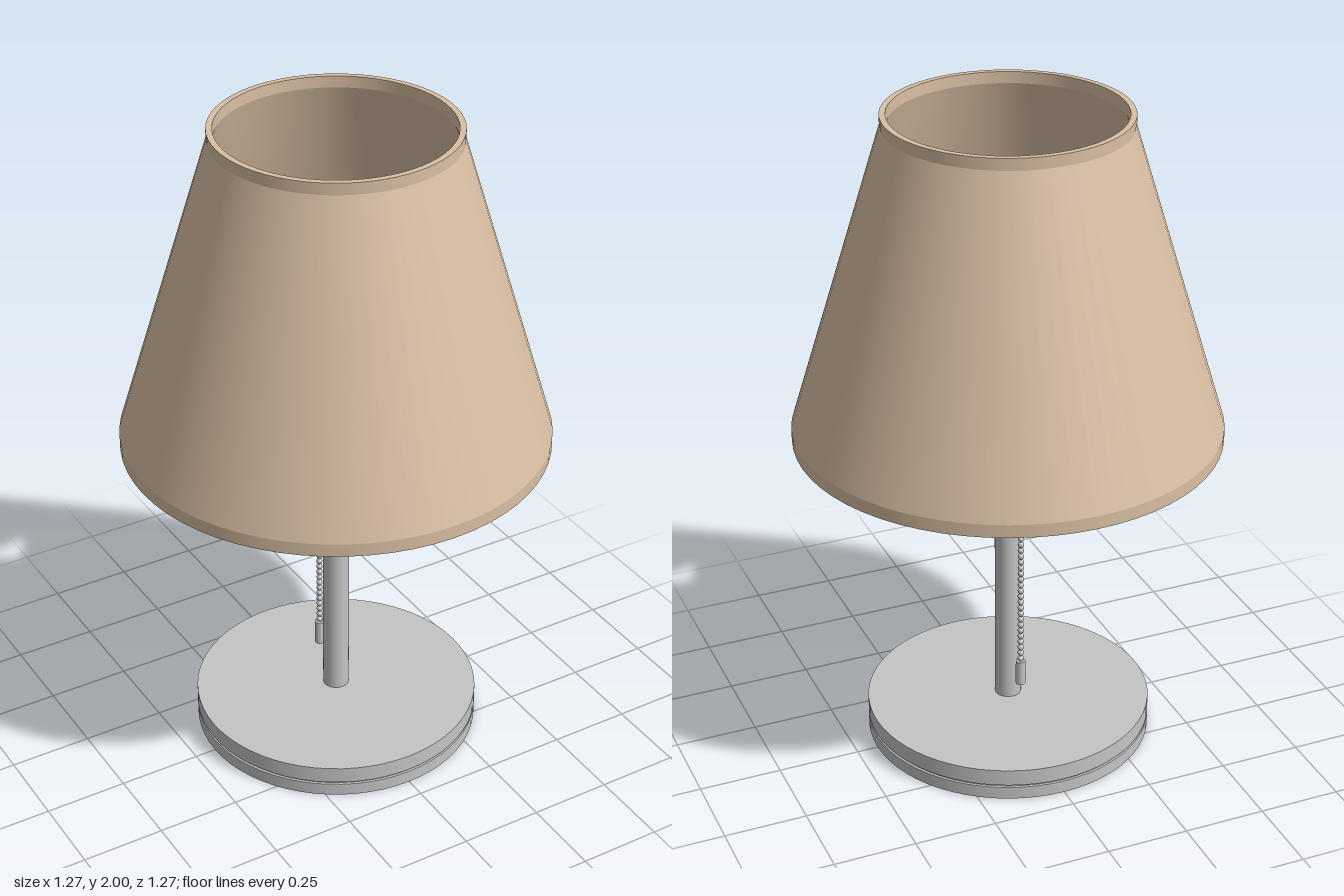
import * as THREE from 'three';
import { toCreasedNormals, mergeGeometries } from 'three/addons/utils/BufferGeometryUtils.js';

const fabric = new THREE.MeshStandardMaterial({ color: 0xd9bfa4 });
fabric.name = 'shadeFabric';
const metal = new THREE.MeshStandardMaterial({ color: 0xc4c4c4 });
metal.name = 'greyMetal';

function part(name, geometry, material) {
  const mesh = new THREE.Mesh(geometry, material);
  mesh.name = name;
  return mesh;
}

// Profile [radius, height] spun round the y axis, with sharp edges kept
function turned(name, profile, material, sides = 64) {
  const points = profile.map(([r, y]) => new THREE.Vector2(r, y));
  const geometry = toCreasedNormals(new THREE.LatheGeometry(points, sides), 0.2);
  return part(name, geometry, material);
}

export function createModel() {
  const lamp = new THREE.Group();
  lamp.name = 'tableLamp';

  // Round base with a narrow groove in its side
  lamp.add(turned('base', [
    [0, 0], [0.435, 0], [0.435, 0.04], [0.427, 0.04],
    [0.427, 0.048], [0.435, 0.048], [0.435, 0.1], [0, 0.1],
  ], metal));

  // Upright pole
  const pole = part('pole', new THREE.CylinderGeometry(0.04, 0.04, 1.04, 32), metal);
  pole.position.y = 0.62;
  lamp.add(pole);

  // Bulb socket
  lamp.add(turned('socket', [
    [0, 1.11], [0.045, 1.11], [0.058, 1.14], [0.058, 1.26],
    [0.05, 1.275], [0.05, 1.38], [0, 1.38],
  ], metal, 32));

  // Bulb: neck flowing into a sphere
  const bulbPoints = [new THREE.Vector2(0.042, 1.37), new THREE.Vector2(0.046, 1.41)];
  const radius = 0.118, centre = 1.56;
  for (let i = 0; i <= 16; i++) {
    const a = THREE.MathUtils.lerp(-0.9, Math.PI / 2, i / 16);
    bulbPoints.push(new THREE.Vector2(Math.max(0, radius * Math.cos(a)), centre + radius * Math.sin(a)));
  }
  lamp.add(part('bulb', new THREE.LatheGeometry(bulbPoints, 40), metal));

  // Hollow shade with straight bands at both rims
  lamp.add(turned('shade', [
    [0.617, 1.01], [0.635, 1.01], [0.635, 1.05], [0.357, 1.965], [0.357, 2],
    [0.339, 2], [0.339, 1.965], [0.617, 1.05], [0.617, 1.01],
  ], fabric));

  // Three bent arms carrying the shade
  const bends = [[0.03, 1.25], [0.115, 1.25], [0.565, 1.03], [0.62, 1.03]];
  const armPath = new THREE.CurvePath();
  for (let i = 0; i < bends.length - 1; i++) {
    const [a, b] = [bends[i], bends[i + 1]].map(([r, y]) => new THREE.Vector3(r, y, 0));
    armPath.add(new THREE.LineCurve3(a, b));
  }
  const armGeometry = new THREE.TubeGeometry(armPath, 48, 0.009, 8);
  for (let i = 0; i < 3; i++) {
    const arm = part('shadeArm', armGeometry, metal);
    arm.rotation.y = i * Math.PI * 2 / 3;
    lamp.add(arm);
  }

  // Pull chain behind the pole: stub, cord, beads and handle
  const pull = new THREE.Group();
  pull.name = 'pullChain';
  const stub = part('chainStub', new THREE.CylinderGeometry(0.011, 0.011, 0.065, 12), metal);
  stub.rotation.x = Math.PI / 2;
  stub.position.set(0, 1.19, -0.077);
  const cord = part('chainCord', new THREE.CylinderGeometry(0.004, 0.004, 0.94, 6), metal);
  cord.position.set(0, 0.72, -0.1);
  const beads = [];
  for (let y = 0.275; y < 1.2; y += 0.02) {
    beads.push(new THREE.SphereGeometry(0.01, 10, 8).translate(0, y, -0.1));
  }
  const handle = part('chainHandle', new THREE.CylinderGeometry(0.015, 0.015, 0.08, 16), metal);
  handle.position.set(0, 0.227, -0.1);
  pull.add(stub, cord, part('chainBeads', mergeGeometries(beads), metal), handle);
  lamp.add(pull);

  return lamp;
}
